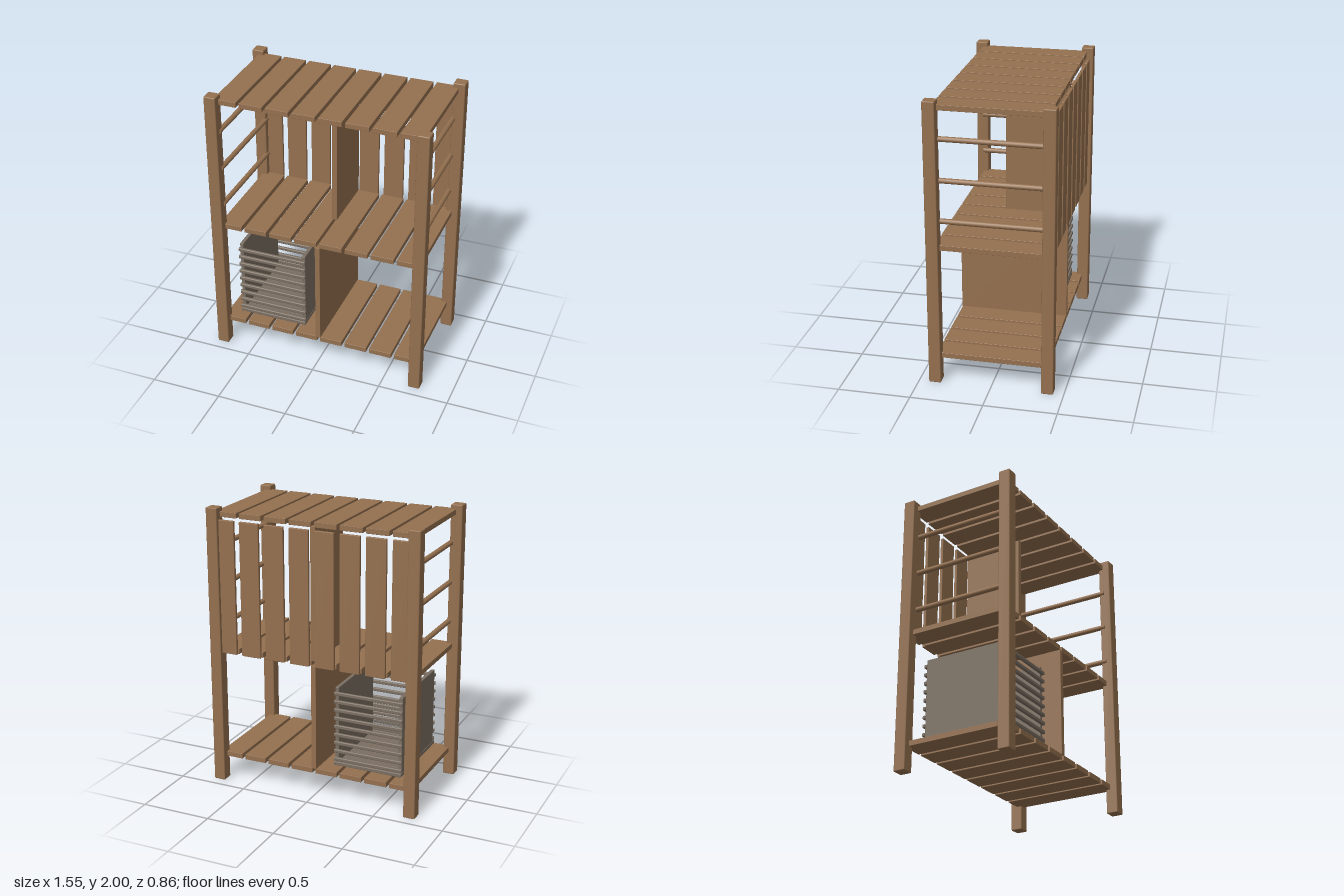
import * as THREE from 'three';
import { RoundedBoxGeometry } from 'three/addons/geometries/RoundedBoxGeometry.js';

const wood = new THREE.MeshStandardMaterial({ color: 0x94704f });
wood.name = 'warm wood';
const crateWood = new THREE.MeshStandardMaterial({ color: 0x7b6f62 });
crateWood.name = 'grey weathered wood';

// Slightly bevelled box given by its min/max extents on each axis
function plank(parent, name, [x0, x1], [y0, y1], [z0, z1], material = wood, bevel = 0.004) {
  const geometry = new RoundedBoxGeometry(x1 - x0, y1 - y0, z1 - z0, 1, bevel);
  const mesh = new THREE.Mesh(geometry, material);
  mesh.name = name;
  mesh.position.set((x0 + x1) / 2, (y0 + y1) / 2, (z0 + z1) / 2);
  parent.add(mesh);
}

function subgroup(parent, name) {
  const group = new THREE.Group();
  group.name = name;
  parent.add(group);
  return group;
}

export function createModel() {
  const model = new THREE.Group();
  model.name = 'shelfUnit';

  // Four corner posts
  const posts = subgroup(model, 'posts');
  for (const x of [-0.732, 0.732])
    for (const z of [-0.388, 0.388])
      plank(posts, 'post', [x - 0.042, x + 0.042], [0, 2], [z - 0.042, z + 0.042], wood, 0.007);

  // Three shelves of eight boards, plus the upright back slats
  const boardX = (i) => (i - 3.5) * 0.1852;
  for (const [name, y] of [['bottomShelf', 0.173], ['middleShelf', 0.969], ['topShelf', 1.932]]) {
    const shelf = subgroup(model, name);
    for (let i = 0; i < 8; i++)
      plank(shelf, 'shelfBoard', [boardX(i) - 0.081, boardX(i) + 0.081], [y, y + 0.037], [-0.383, 0.38], wood, 0.002);
  }
  const back = subgroup(model, 'backPanel');
  for (let i = 0; i < 8; i++)
    plank(back, 'backSlat', [boardX(i) - 0.072, boardX(i) + 0.072], [0.967, 1.917], [-0.406, -0.384], wood);

  // Dividers: full depth below, half depth above
  plank(model, 'lowerDivider', [-0.02, 0.016], [0.208, 0.971], [-0.386, 0.384], wood, 0.002);
  plank(model, 'upperDivider', [-0.02, 0.016], [1.004, 1.938], [-0.384, 0.055], wood, 0.002);

  // Round side rungs
  const rungs = subgroup(model, 'sideRungs');
  const rungGeometry = new THREE.CylinderGeometry(0.018, 0.018, 0.768, 16).rotateX(Math.PI / 2);
  for (const x of [-0.698, 0.698])
    for (const y of [1.167, 1.45, 1.733]) {
      const rung = new THREE.Mesh(rungGeometry, wood);
      rung.name = 'rung';
      rung.position.set(x, y, 0);
      rungs.add(rung);
    }

  // Slatted crate with solid sides and floor
  const crate = subgroup(model, 'crate');
  plank(crate, 'crateFloor', [-0.627, -0.125], [0.234, 0.26], [-0.3, 0.3], crateWood);
  for (const x of [-0.624, -0.154])
    plank(crate, 'crateSide', [x, x + 0.026], [0.245, 0.81], [-0.299, 0.299], crateWood);
  for (const z of [-0.308, 0.308]) {
    plank(crate, 'crateSill', [-0.627, -0.125], [0.234, 0.26], [z - 0.011, z + 0.011], crateWood);
    for (let i = 0; i < 9; i++) {
      const y = 0.278 + i * 0.0609;
      plank(crate, 'crateSlat', [-0.629, -0.123], [y - 0.013, y + 0.013], [z - 0.011, z + 0.011], crateWood, 0.006);
    }
  }
  return model;
}
